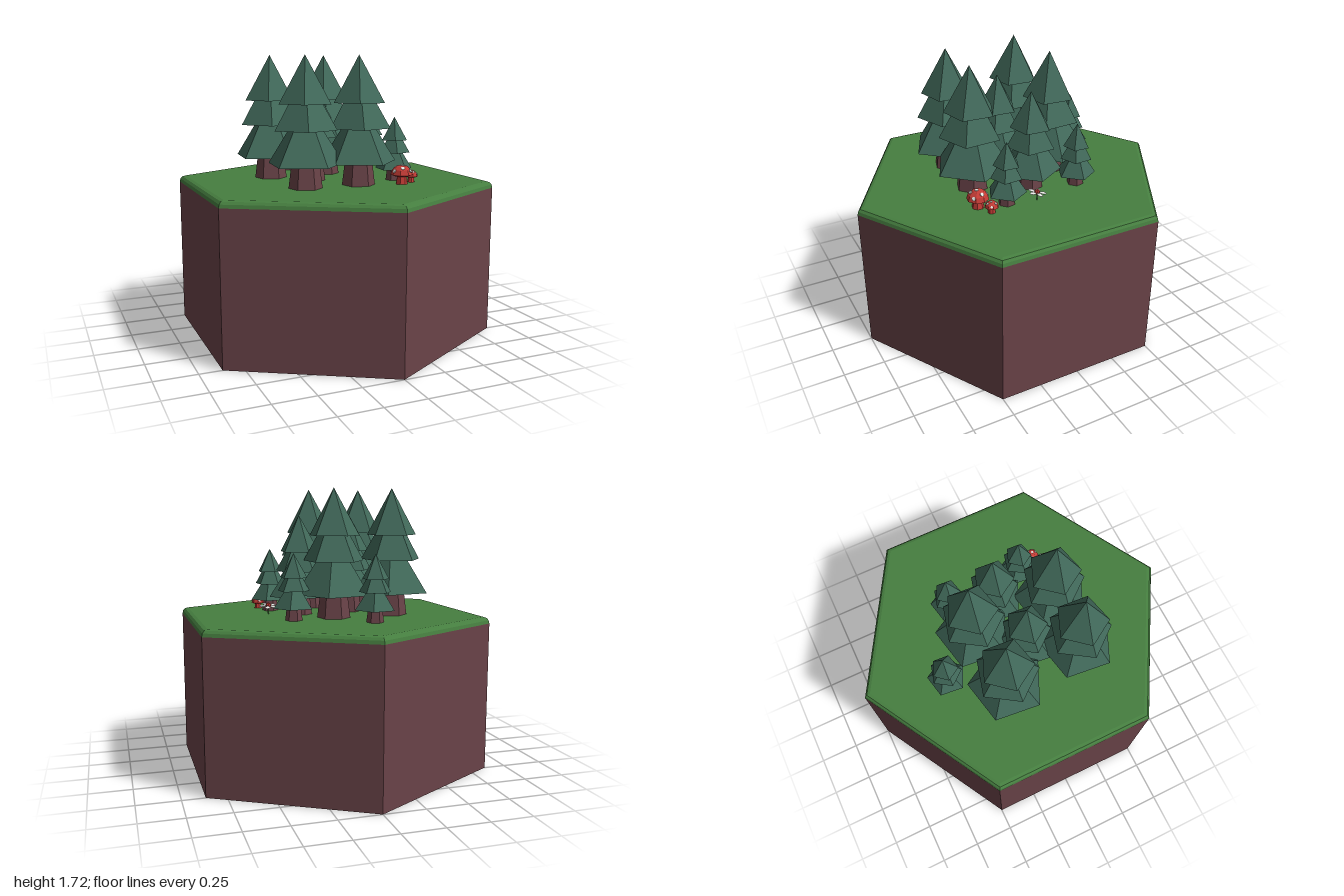
import * as THREE from 'three';

const mat = (name, color, extra = {}) => {
  const m = new THREE.MeshStandardMaterial({ color, flatShading: true, ...extra });
  m.name = name;
  return m;
};
const both = { side: THREE.DoubleSide };
const soil = mat('soil', 0x6a4348, both);
const grass = mat('grass', 0x467f40, both);
const bark = mat('bark', 0x6a4348);
const needles = mat('needles', 0x41695a);
const red = mat('red', 0xc43c36);
const white = mat('white', 0xe6e6e2);

const GROUND = 0.95;
const DEG = Math.PI / 180;

function add(parent, name, geometry, material, x = 0, y = 0, z = 0, turn = 0) {
  const mesh = new THREE.Mesh(geometry, material);
  mesh.name = name;
  mesh.position.set(x, y, z);
  mesh.rotation.y = turn * DEG;
  parent.add(mesh);
  return mesh;
}

// Pine: tapered trunk and three overlapping five-sided cones
function pine(x, z, scale) {
  const g = new THREE.Group();
  g.name = 'pineTree';
  add(g, 'trunk', new THREE.CylinderGeometry(0.075, 0.1, 0.2, 6), bark, 0, 0.1, 0, 12);
  const tiers = [ // bottom, height, radius, turn
    [0.14, 0.36, 0.234, 12],
    [0.34, 0.33, 0.19, 57],
    [0.49, 0.28, 0.158, 50],
  ];
  for (const [bottom, height, radius, turn] of tiers) {
    add(g, 'branchTier', new THREE.ConeGeometry(radius, height, 5), needles, 0, bottom + height / 2, 0, turn);
  }
  g.position.set(x, GROUND, z);
  g.scale.setScalar(scale);
  return g;
}

// Mushroom: domed cap with flat round spots
function mushroom(x, z, r, turn) {
  const g = new THREE.Group();
  g.name = 'mushroom';
  const capY = r * 0.75;
  add(g, 'stem', new THREE.CylinderGeometry(r * 0.42, r * 0.55, capY + r * 0.1, 7), red, 0, capY / 2, 0);
  const profile = [[0, 0], [0.7, -0.02], [1, 0.1], [0.85, 0.55], [0.48, 0.88], [0, 1]]
    .map(([a, b]) => new THREE.Vector2(a * r, b * r));
  add(g, 'cap', new THREE.LatheGeometry(profile, 8), red, 0, capY, 0);
  const spot = (tilt, angle, size) => {
    const dir = new THREE.Vector3(
      Math.sin(tilt) * Math.sin(angle), Math.cos(tilt), Math.sin(tilt) * Math.cos(angle));
    const disc = add(g, 'spot', new THREE.CylinderGeometry(size, size, 0.006, 6), white);
    disc.position.copy(dir).multiplyScalar(r * 0.97).add(new THREE.Vector3(0, capY, 0));
    disc.quaternion.setFromUnitVectors(new THREE.Vector3(0, 1, 0), dir);
  };
  spot(0.12, 0, r * 0.18);
  for (let i = 0; i < 6; i++) spot(i % 2 ? 0.7 : 1.05, (i + 0.5) * Math.PI / 3, r * 0.18);
  g.position.set(x, GROUND, z);
  g.rotation.y = turn;
  return g;
}

// Flower: thin stem, five petals and a round centre
function flower(x, z) {
  const g = new THREE.Group();
  g.name = 'flower';
  add(g, 'flowerStem', new THREE.CylinderGeometry(0.004, 0.004, 0.05, 5), grass, 0, 0.025, 0);
  const head = new THREE.Group();
  head.name = 'flowerHead';
  for (let i = 0; i < 5; i++) {
    const a = i * Math.PI * 0.4 + 0.3;
    const petal = add(head, 'petal', new THREE.SphereGeometry(1, 7, 4), white,
      Math.sin(a) * 0.036, 0, Math.cos(a) * 0.036);
    petal.scale.set(0.017, 0.005, 0.024);
    petal.rotation.y = a;
  }
  add(head, 'flowerCentre', new THREE.SphereGeometry(0.017, 7, 5), red, 0, 0.003, 0);
  head.position.y = 0.05;
  head.rotation.x = -0.2;
  g.add(head);
  g.position.set(x, GROUND, z);
  return g;
}

export function createModel() {
  const model = new THREE.Group();
  model.name = 'forestTile';

  // Hexagonal earth wall, open underneath, with a rounded turf lid
  add(model, 'earthWall', new THREE.CylinderGeometry(1, 1, 0.91, 6, 1, true), soil, 0, 0.455, 0);
  const turf = [[1, 0.91], [0.995, 0.93], [0.982, 0.944], [0.96, GROUND], [0, GROUND]]
    .map(([r, y]) => new THREE.Vector2(r, y));
  add(model, 'turf', new THREE.LatheGeometry(turf, 6), grass);

  // Grove
  const trees = [
    [-0.29, 0.29, 1], [0.05, 0.29, 1], [-0.34, -0.2, 1], [0.04, -0.24, 1],
    [-0.14, 0.02, 0.79], [0.2, -0.03, 0.79],
    [-0.13, -0.5, 0.51], [0.3, -0.29, 0.51], [0.335, 0.2, 0.51],
  ];
  for (const t of trees) model.add(pine(...t));

  model.add(mushroom(0.3, 0.37, 0.067, 0.2));
  model.add(mushroom(0.39, 0.325, 0.042, 0.6));
  model.add(flower(0.385, 0.025));
  return model;
}
